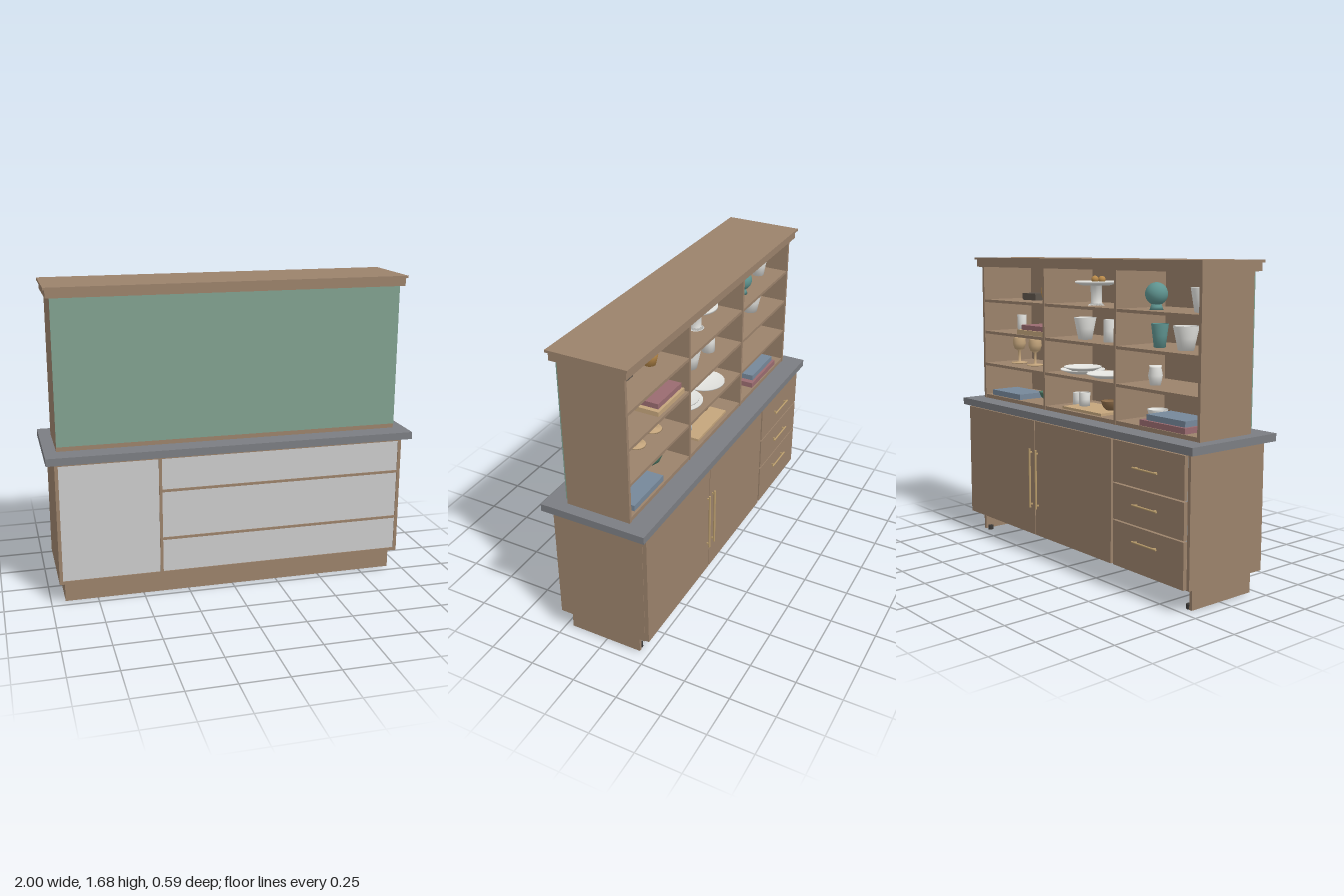
import * as THREE from 'three';

const mats = {};
const mat = (color) => (mats[color] ??= new THREE.MeshStandardMaterial({ color, side: THREE.DoubleSide }));
const WOOD = 0x9b826b, STONE = 0x7b7d82, GREEN = 0x81a18f, GREY = 0xcccccc, BRASS = 0xb99c6c;
const WHITE = 0xe4e4e0, TEAL = 0x5f9490, PINK = 0x9a6b70, BLUE = 0x76889a, TAN = 0xc4a57c, AMBER = 0xb98a4a;

export function createModel() {
  const root = new THREE.Group();
  const group = (name) => {
    const g = new THREE.Group();
    g.name = name;
    root.add(g);
    return g;
  };
  const add = (parent, name, geo, color, x = 0, y = 0, z = 0) => {
    const m = new THREE.Mesh(geo, mat(color));
    m.name = name;
    m.position.set(x, y, z);
    parent.add(m);
    return m;
  };
  // box given by its extents on each axis
  const box = (parent, name, color, x0, x1, y0, y1, z0, z1) =>
    add(parent, name, new THREE.BoxGeometry(x1 - x0, y1 - y0, z1 - z0), color,
      (x0 + x1) / 2, (y0 + y1) / 2, (z0 + z1) / 2);
  // turned vessel from [radius, height] pairs
  const turned = (parent, name, color, x, y, z, pts) =>
    add(parent, name, new THREE.LatheGeometry(pts.map((p) => new THREE.Vector2(...p)), 28), color, x, y, z);

  // plinth, open at the back, with small pads
  const plinth = group('plinth');
  box(plinth, 'plinthBoard', WOOD, -0.925, 0.925, 0.004, 0.12, 0.192, 0.21);
  for (const s of [-1, 1]) {
    const a = s * 0.925, b = s * 0.907;
    box(plinth, 'plinthSide', WOOD, Math.min(a, b), Math.max(a, b), 0.004, 0.12, -0.2, 0.192);
    for (const z of [-0.18, 0.172])
      add(plinth, 'footPad', new THREE.CylinderGeometry(0.016, 0.016, 0.025, 16), 0x3a3836, s * 0.888, 0.0125, z);
  }

  // base cabinet carcass
  const base = group('baseCabinet');
  const F = 0.255, B = -0.25;
  box(base, 'baseSide', WOOD, -0.955, -0.937, 0.12, 0.79, B, F);
  box(base, 'baseSide', WOOD, 0.937, 0.955, 0.12, 0.79, B, F);
  box(base, 'baseFloor', WOOD, -0.937, 0.937, 0.12, 0.137, B, F);
  box(base, 'baseRail', WOOD, -0.937, 0.937, 0.773, 0.79, B, F);
  box(base, 'partition', WOOD, -0.414, -0.398, 0.137, 0.773, B, F);
  for (const y of [0.325, 0.595]) box(base, 'baseShelf', WOOD, -0.398, 0.937, y - 0.007, y + 0.007, B, F);
  // grey panels set into the frame
  box(base, 'narrowPanel', GREY, -0.937, -0.414, 0.137, 0.773, 0.242, 0.25);
  for (const [y0, y1] of [[0.137, 0.318], [0.332, 0.588], [0.602, 0.773]])
    box(base, 'widePanel', GREY, -0.398, 0.937, y0, y1, 0.242, 0.25);

  // doors with long pulls
  const doors = group('doors');
  box(doors, 'door', WOOD, -0.398, 0.268, 0.123, 0.782, -0.272, B);
  box(doors, 'door', WOOD, 0.274, 0.953, 0.123, 0.782, -0.272, B);
  for (const x of [0.242, 0.3]) {
    add(doors, 'doorHandle', new THREE.CylinderGeometry(0.006, 0.006, 0.34, 12), BRASS, x, 0.45, -0.288);
    for (const y of [0.3, 0.6]) box(doors, 'handlePost', BRASS, x - 0.004, x + 0.004, y - 0.004, y + 0.004, -0.288, -0.27);
  }

  // three drawers with bar pulls
  const drawers = group('drawers');
  const seams = [0.12, 0.365, 0.56, 0.785];
  [0.285, 0.475, 0.665].forEach((y, i) => {
    box(drawers, 'drawerFront', WOOD, -0.936, -0.415, seams[i] + 0.004, seams[i + 1] - 0.004, -0.272, B);
    add(drawers, 'drawerHandle', new THREE.CylinderGeometry(0.005, 0.005, 0.18, 12), BRASS, -0.67, y, -0.288).rotation.z = Math.PI / 2;
    for (const x of [-0.74, -0.6]) box(drawers, 'handlePost', BRASS, x - 0.004, x + 0.004, y - 0.004, y + 0.004, -0.288, -0.27);
  });

  box(root, 'countertop', STONE, -1, 1, 0.79, 0.83, -0.287, 0.293);

  // upper shelf unit, open at the back
  const hutch = group('upperShelves');
  for (const [x0, x1] of [[-0.935, -0.917], [-0.319, -0.303], [0.303, 0.319], [0.917, 0.935]])
    box(hutch, 'upright', WOOD, x0, x1, 0.83, 1.63, -0.175, 0.172);
  const shelfY = [0.852, 1.045, 1.24, 1.43];
  shelfY.forEach((y, i) => box(hutch, 'shelf', WOOD, -0.917, 0.917, i ? y - 0.016 : 0.83, y, -0.172, 0.172));
  box(hutch, 'rearBoard', WOOD, -0.935, 0.935, 0.83, 1.63, 0.17, 0.178);
  box(hutch, 'greenPanel', GREEN, -0.935, 0.935, 0.855, 1.63, 0.178, 0.184);
  box(hutch, 'crownLower', WOOD, -0.957, 0.957, 1.625, 1.667, -0.198, 0.206);
  box(hutch, 'crownTop', WOOD, -0.967, 0.967, 1.667, 1.68, -0.21, 0.217);

  // shelf contents
  const ware = group('tableware');
  const [s1, s2, s3, s4] = shelfY;
  const cup = (name, color, x, y, z, r0, r1, h) =>
    turned(ware, name, color, x, y, z, [[0, 0], [r0, 0], [(r0 + r1) / 2, h / 2], [r1, h], [r1 - 0.006, h], [r0 - 0.006, 0.01], [0, 0.01]]);
  const bowl = (color, x, y, z, r, h) =>
    turned(ware, 'bowl', color, x, y, z, [[0, 0], [r * 0.45, 0], [r * 0.8, h * 0.4], [r, h], [r - 0.006, h], [r * 0.7, h * 0.4], [0, 0.01]]);
  const plate = (x, y, z, r) =>
    turned(ware, 'plate', WHITE, x, y, z, [[0, 0], [r * 0.6, 0], [r, 0.018], [r, 0.024], [r * 0.62, 0.01], [0, 0.01]]);
  const book = (color, x, y, z, w, h, d) =>
    box(ware, 'book', color, x - w / 2, x + w / 2, y, y + h, z - d / 2, z + d / 2);

  // bays on the left
  turned(ware, 'decanter', AMBER, 0.46, s4, -0.03,
    [[0, 0], [0.03, 0], [0.042, 0.05], [0.038, 0.08], [0.014, 0.1], [0.014, 0.12], [0.02, 0.125], [0, 0.16]]);
  book(0x5e554c, 0.67, s4, 0.03, 0.13, 0.04, 0.1);
  cup('tumbler', WHITE, 0.74, s3, -0.025, 0.025, 0.028, 0.1);
  book(TAN, 0.47, s3, -0.06, 0.27, 0.026, 0.19);
  book(PINK, 0.46, s3 + 0.026, -0.055, 0.24, 0.028, 0.17);
  for (const x of [0.77, 0.605, 0.44])
    turned(ware, 'goblet', TAN, x, s2, -0.025,
      [[0, 0], [0.05, 0], [0.048, 0.006], [0.008, 0.012], [0.008, 0.075], [0.03, 0.09], [0.04, 0.12], [0.036, 0.155], [0.032, 0.155], [0.034, 0.12], [0, 0.085]]);
  book(BLUE, 0.72, s1, -0.07, 0.29, 0.032, 0.18);
  bowl(0x4f7a66, 0.465, s1, -0.02, 0.065, 0.05);

  // middle bays
  turned(ware, 'cakeStand', WHITE, 0, s4, -0.045,
    [[0, 0], [0.045, 0], [0.03, 0.012], [0.03, 0.105], [0.08, 0.108], [0.115, 0.12], [0.115, 0.13], [0.08, 0.118], [0, 0.118]]);
  for (const x of [-0.03, 0.03]) add(ware, 'fruit', new THREE.SphereGeometry(0.02, 16, 12), AMBER, x, s4 + 0.138, -0.03);
  cup('taperedCup', WHITE, 0.085, s3, -0.055, 0.038, 0.062, 0.12);
  cup('canister', WHITE, -0.13, s3, -0.055, 0.036, 0.036, 0.12);
  plate(0.145, s2, -0.025, 0.125);
  plate(0.145, s2 + 0.014, -0.025, 0.105);
  plate(-0.1, s2, -0.045, 0.115);
  box(ware, 'servingBoard', TAN, -0.17, 0.17, s1, s1 + 0.014, -0.15, 0.06);
  cup('mug', WHITE, 0.2, s1, -0.015, 0.03, 0.032, 0.075);
  cup('mug', WHITE, 0.105, s1 + 0.014, -0.045, 0.03, 0.032, 0.075);
  bowl(0x8a6a48, -0.1, s1 + 0.014, -0.025, 0.055, 0.05);

  // bays on the right
  cup('collar', TEAL, -0.51, s4, -0.07, 0.035, 0.025, 0.03);
  add(ware, 'ornamentBall', new THREE.IcosahedronGeometry(0.058, 3), TEAL, -0.51, s4 + 0.08, -0.07);
  cup('vase', WHITE, -0.8, s4, -0.045, 0.032, 0.052, 0.12);
  cup('beaker', TEAL, -0.51, s3, -0.045, 0.03, 0.045, 0.12);
  cup('planter', WHITE, -0.7, s3, -0.045, 0.04, 0.066, 0.12);
  turned(ware, 'jar', WHITE, -0.48, s2, -0.045, [[0, 0], [0.028, 0], [0.038, 0.05], [0.03, 0.09], [0.033, 0.1], [0, 0.1]]);
  bowl(WHITE, -0.45, s1, 0, 0.055, 0.06);
  book(PINK, -0.66, s1, -0.07, 0.33, 0.03, 0.19);
  book(BLUE, -0.67, s1 + 0.03, -0.065, 0.28, 0.03, 0.17);

  return root;
}
